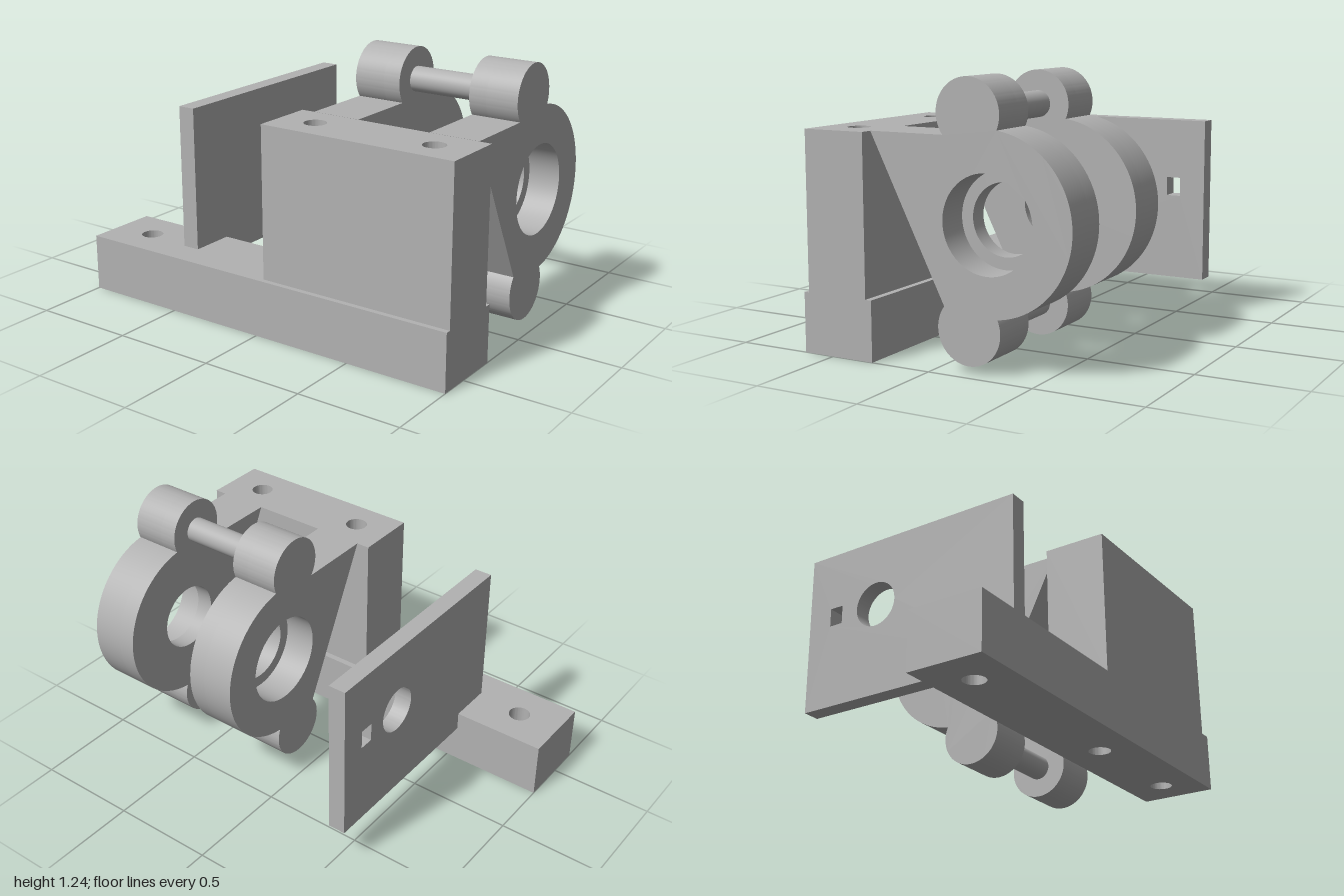
import * as THREE from 'three';
import { toCreasedNormals } from 'three/addons/utils/BufferGeometryUtils.js';

const CX = 0.255, CY = 0.638;      // bore axis
const LX = 0.165, LY = 0.455;      // lobe centre, LY measured from the bore axis
const R = 0.395, LR = 0.152;       // arm end and lobe radii
const FLAT = 0.3625, ROOT = -0.32; // half height of the arm and its root

const circle = (x, y, r) => new THREE.Path().absarc(x, y, r, 0, Math.PI * 2, true);

function rectangle(x0, y0, x1, y1, Type = THREE.Shape) {
  const s = new Type();
  s.moveTo(x0, y0);
  s.lineTo(x1, y0);
  s.lineTo(x1, y1);
  s.lineTo(x0, y1);
  s.closePath();
  return s;
}

function extrude(shape, depth) {
  return toCreasedNormals(new THREE.ExtrudeGeometry(shape, { depth, bevelEnabled: false, curveSegments: 40 }), 0.5);
}

// Rectangular bar standing on y0 with vertical screw holes
function drilledBar(x0, x1, z0, z1, y0, y1, holes) {
  const s = rectangle(x0, -z1, x1, -z0);
  for (const z of holes) s.holes.push(circle(-0.47, -z, 0.052));
  return extrude(s, y1 - y0).rotateX(-Math.PI / 2).translate(0, y0, 0);
}

// Round-ended arm outline with a lobe above and below, bored on its axis
function armShape(bore) {
  const dx = LX - CX, d = Math.hypot(dx, LY);
  const a = (d * d + R * R - LR * LR) / (2 * d), h = Math.sqrt(R * R - a * a);
  const px = CX + (a * dx + h * LY) / d, py = (a * LY - h * dx) / d; // lobe meets arm end
  const drop = LY - FLAT;
  const flatAngle = Math.atan2(drop, -Math.sqrt(LR * LR - drop * drop));
  const lobeAngle = Math.atan2(LY - py, px - LX);
  const endAngle = Math.atan2(py, px - CX);
  const s = new THREE.Shape();
  s.moveTo(ROOT, -FLAT);
  s.absarc(LX, -LY, LR, flatAngle, lobeAngle + Math.PI * 2, false);
  s.absarc(CX, 0, R, -endAngle, endAngle, false);
  s.absarc(LX, LY, LR, -lobeAngle, Math.PI * 2 - flatAngle, false);
  s.lineTo(ROOT, FLAT);
  s.closePath();
  s.holes.push(circle(CX, 0, bore));
  return s;
}

export function createModel() {
  const model = new THREE.Group();
  model.name = 'bearingBracket';
  const grey = new THREE.MeshStandardMaterial({ color: 0xb2b2b2 });
  grey.name = 'grey';

  const add = (name, geometry, parent = model) => {
    const mesh = new THREE.Mesh(geometry, grey);
    mesh.name = name;
    parent.add(mesh);
    return mesh;
  };

  // Long base rail and the block on its front half
  add('baseRail', drilledBar(-0.65, -0.29, -1, 1, 0, 0.275, [-0.79, 0.21, 0.815]));
  add('block', drilledBar(-0.625, ROOT, 0.03, 1, 0.275, 1, [0.21, 0.815]));

  // Two arms: a wide bearing seat on the outside, a narrower lip on the inside
  const seat = 0.155, lip = 0.085;
  const arms = [
    ['rearArm', 0.095, 0.095 + seat],
    ['frontArm', 0.70 + lip, 0.70],
  ];
  for (const [name, seatZ, lipZ] of arms) {
    const arm = new THREE.Group();
    arm.name = name;
    model.add(arm);
    add('bearingSeat', extrude(armShape(0.215), seat).translate(0, CY, seatZ), arm);
    add('bearingLip', extrude(armShape(0.16), lip).translate(0, CY, lipZ), arm);
  }

  // Pins joining the lobes
  for (const [name, side] of [['upperPin', 1], ['lowerPin', -1]]) {
    const pin = add(name, new THREE.CylinderGeometry(0.06, 0.06, 0.365, 40));
    pin.rotation.x = Math.PI / 2;
    pin.position.set(LX, CY + side * LY, 0.5175);
  }

  // Upright plate with a round hole and a small window
  const plate = rectangle(-0.505, 0.185, 0.65, 0.97);
  plate.holes.push(circle(CX, CY, 0.11));
  plate.holes.push(rectangle(0.455, 0.595, 0.525, 0.685, THREE.Path));
  add('plate', extrude(plate, 0.085).translate(0, 0, -0.55));

  return model;
}
